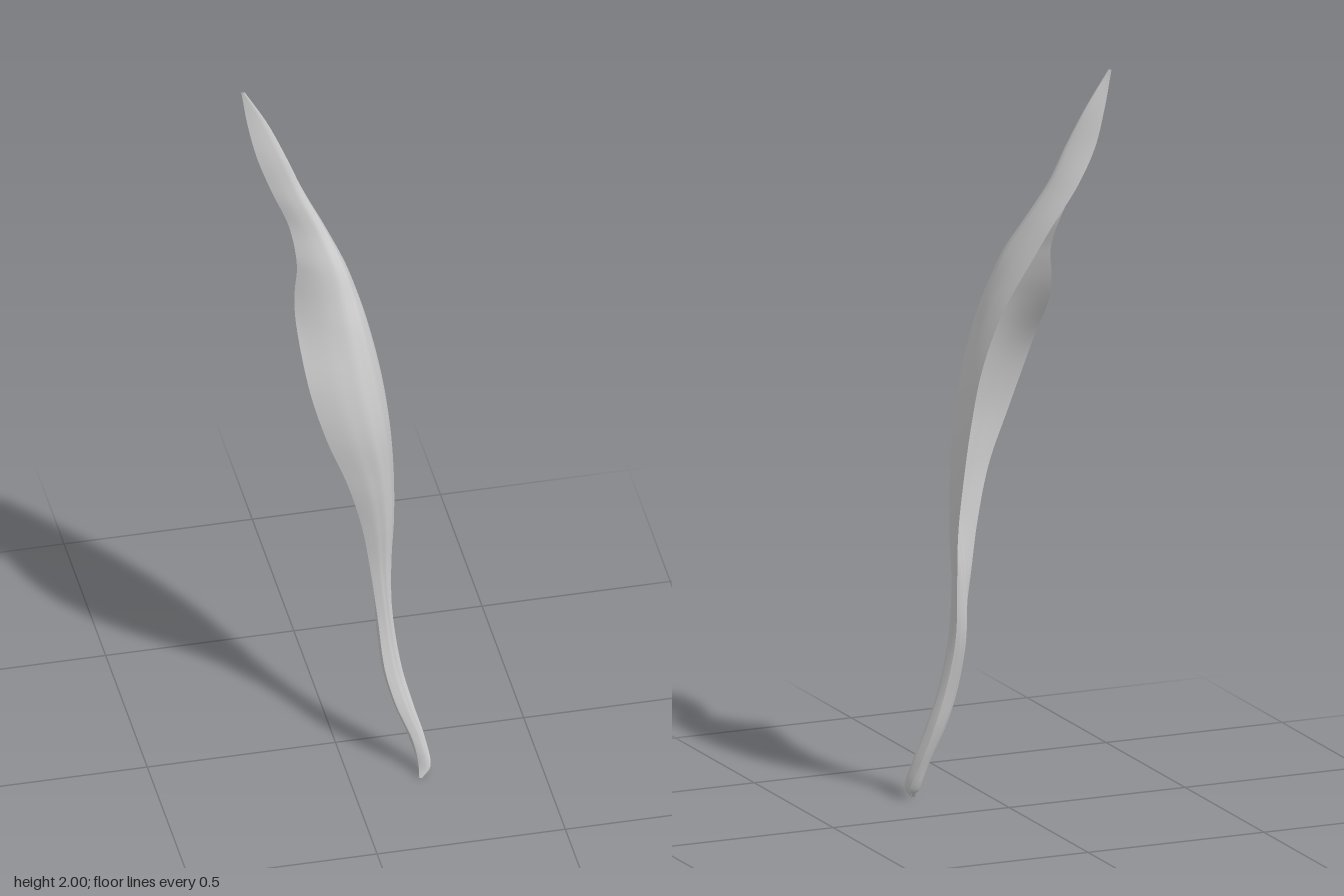
import * as THREE from 'three';

// Cross-sections from stalk to tip: height, then x,z of one rim, the ridge and the other rim
const SECTIONS = [
  [0.00, 0.178, 0.197, 0.187, 0.20, 0.192, 0.186],
  [0.03, 0.18, 0.185, 0.207, 0.198, 0.205, 0.17],
  [0.10, 0.168, 0.17, 0.20, 0.172, 0.19, 0.14],
  [0.20, 0.13, 0.147, 0.172, 0.146, 0.165, 0.11],
  [0.30, 0.105, 0.122, 0.148, 0.12, 0.142, 0.09],
  [0.45, 0.092, 0.09, 0.13, 0.092, 0.125, 0.06],
  [0.60, 0.075, 0.08, 0.125, 0.08, 0.13, 0.04],
  [0.75, 0.05, 0.09, 0.128, 0.085, 0.14, 0.01],
  [0.90, 0.01, 0.105, 0.122, 0.092, 0.14, -0.025],
  [1.05, -0.045, 0.10, 0.105, 0.10, 0.13, -0.05],
  [1.20, -0.085, 0.07, 0.083, 0.083, 0.11, -0.073],
  [1.35, -0.10, 0.02, 0.06, 0.045, 0.07, -0.105],
  [1.43, -0.096, -0.008, 0.046, 0.01, 0.038, -0.13],
  [1.50, -0.088, -0.038, 0.03, -0.022, 0.005, -0.152],
  [1.60, -0.10, -0.10, -0.012, -0.075, -0.045, -0.178],
  [1.70, -0.14, -0.128, -0.06, -0.115, -0.105, -0.196],
  [1.80, -0.175, -0.147, -0.10, -0.137, -0.155, -0.198],
  [1.90, -0.197, -0.165, -0.145, -0.16, -0.184, -0.194],
  [2.00, -0.211, -0.178, -0.203, -0.176, -0.207, -0.187],
];
const ROWS = 120, COLS = 24;

const guide = (c) => new THREE.CatmullRomCurve3(
  SECTIONS.map((s) => new THREE.Vector3(s[c], s[0], s[c + 1])));
const rimA = guide(1), ridge = guide(3), rimB = guide(5);

// One skin of the leaf: a bent strip swept along the three guides
function skin(inner) {
  const pos = [], idx = [];
  for (let r = 0; r <= ROWS; r++) {
    const v = r / ROWS;
    const a = rimA.getPoint(v), m = ridge.getPoint(v), b = rimB.getPoint(v);
    const chord = a.clone().add(b).multiplyScalar(0.5);
    if (inner) {
      // Round stalk below, thin hollow blade above, both closing at the ends
      const hollow = THREE.MathUtils.smoothstep(m.y, 0.4, 0.8);
      const ends = Math.min(1, v * 25, (1 - v) * 12);
      m.lerp(chord, THREE.MathUtils.lerp(1.7, 0.25, hollow) * ends);
    }
    const ctrl = m.clone().multiplyScalar(2).sub(chord);
    const arc = new THREE.QuadraticBezierCurve3(a, ctrl, b);
    // The first rim rolls inward around the upper belly
    const roll = 0.05 * Math.exp(-(((a.y - 1.4) / 0.13) ** 2));
    for (let c = 0; c <= COLS; c++) {
      const u = c / COLS, p = arc.getPoint(u);
      // Faint lengthwise veins, fading at the rims
      const vein = 0.0012 * Math.sin(u * 34 + v * 5) * Math.sin(Math.PI * u) * Math.sin(Math.PI * v);
      pos.push(p.x + vein, p.y, p.z + vein - roll * (1 - u) ** 5);
      if (r < ROWS && c < COLS) {
        const i = r * (COLS + 1) + c, j = i + COLS + 1;
        if (inner) idx.push(i, j, i + 1, i + 1, j, j + 1);
        else idx.push(i, i + 1, j, i + 1, j + 1, j);
      }
    }
  }
  const geo = new THREE.BufferGeometry();
  geo.setAttribute('position', new THREE.Float32BufferAttribute(pos, 3));
  geo.setIndex(idx);
  geo.computeVertexNormals();
  return geo;
}

export function createModel() {
  const group = new THREE.Group();
  group.name = 'curledLeaf';
  const mat = new THREE.MeshStandardMaterial({ color: 0xcccccc, side: THREE.DoubleSide });
  for (const [name, inner] of [['outerSkin', false], ['innerSkin', true]]) {
    const mesh = new THREE.Mesh(skin(inner), mat);
    mesh.name = name;
    group.add(mesh);
  }
  return group;
}
